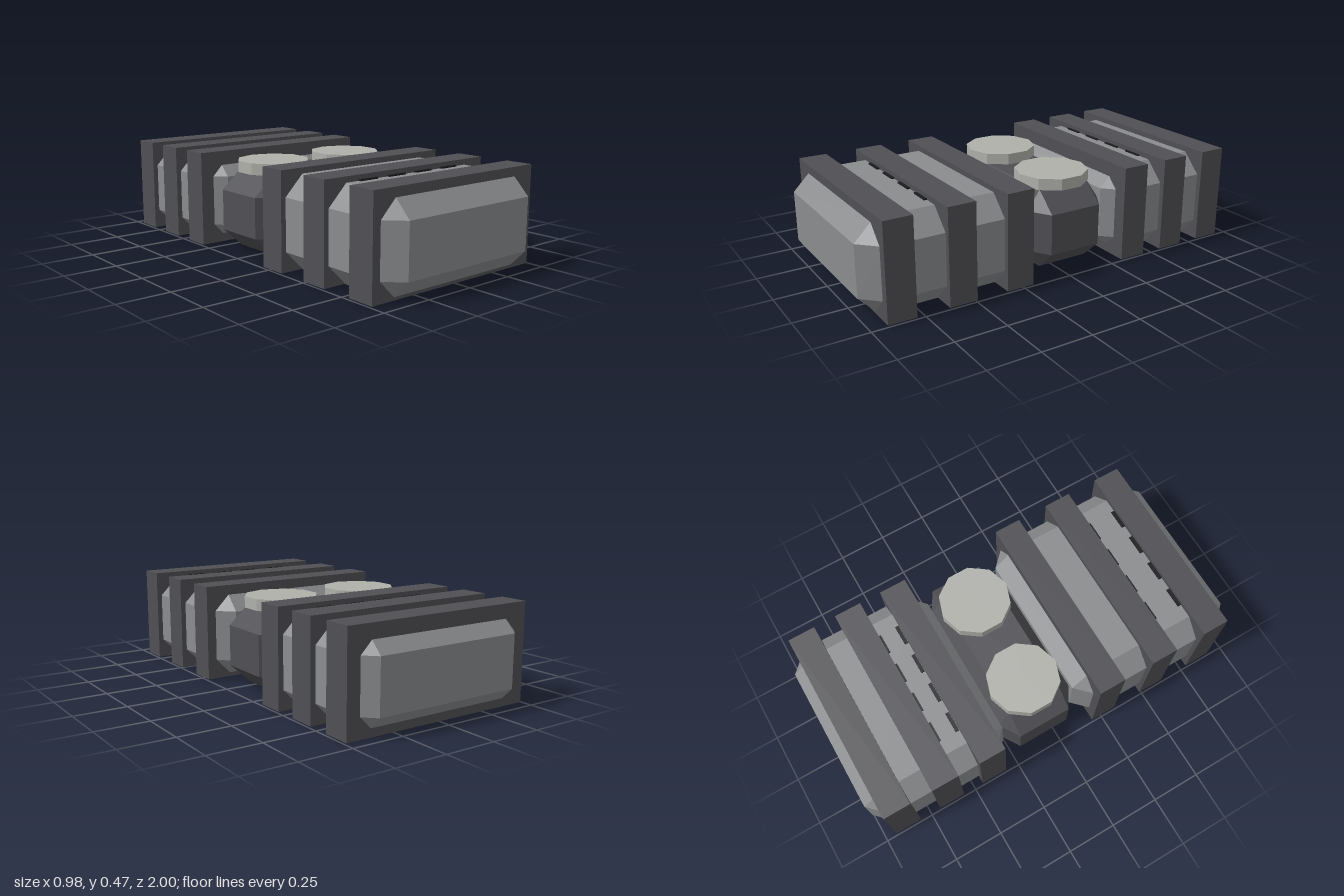
import * as THREE from 'three';
import { ConvexGeometry } from 'three/addons/geometries/ConvexGeometry.js';

const mat = (name, color) => {
  const m = new THREE.MeshStandardMaterial({ color });
  m.name = name;
  return m;
};

// Box between min and max whose twelve edges and eight corners are cut by a chamfer per axis
function chamferedBox(min, max, cut) {
  const points = [];
  for (let corner = 0; corner < 8; corner++) {
    const high = [corner & 1, corner & 2, corner & 4];
    for (let axis = 0; axis < 3; axis++) {
      const p = high.map((h, i) => {
        const inset = i === axis ? 0 : cut[i];
        return h ? max[i] - inset : min[i] + inset;
      });
      points.push(new THREE.Vector3(...p));
    }
  }
  return new ConvexGeometry(points);
}

export function createModel() {
  const model = new THREE.Group();
  model.name = 'twinPodModule';
  const hullGrey = mat('hull grey', 0x8a8c8e);
  const bandGrey = mat('dark band grey', 0x504f54);
  const padGrey = mat('pale pad grey', 0xb0b0ab);
  const slotBlack = mat('slot black', 0x1c1c1e);

  const add = (parent, name, geometry, material, x = 0, y = 0, z = 0) => {
    const mesh = new THREE.Mesh(geometry, material);
    mesh.name = name;
    mesh.position.set(x, y, z);
    parent.add(mesh);
    return mesh;
  };

  // Two ribbed pods, each with three square bands and two rows of slots
  const pods = [
    { name: 'frontPod', z0: 0.125, z1: 1, bands: [0.267, 0.56, 0.853], slots: [0.633, 0.776] },
    { name: 'rearPod', z0: -1, z1: -0.265, bands: [-0.385, -0.63, -0.877], slots: [-0.56, -0.464] },
  ];
  const bandGeometry = new THREE.BoxGeometry(0.98, 0.465, 0.136);
  const slotGeometry = new THREE.BoxGeometry(0.1, 0.009, 0.018);
  for (const { name, z0, z1, bands, slots } of pods) {
    const pod = new THREE.Group();
    pod.name = name;
    model.add(pod);
    add(pod, 'hull', chamferedBox([-0.465, 0, z0], [0.465, 0.44, z1], [0.095, 0.096, 0.095]), hullGrey);
    for (const z of bands) add(pod, 'band', bandGeometry, bandGrey, 0, 0.2345, z);
    for (const z of slots) {
      for (const x of [-0.25, -0.083, 0.083, 0.25]) add(pod, 'slot', slotGeometry, slotBlack, x, 0.4425, z);
    }
  }

  // Connecting block between the pods
  add(model, 'connector', chamferedBox([-0.44, 0.001, -0.27], [0.44, 0.39, 0.13], [0.105, 0.095, 0.065]), bandGrey);

  // Pair of ten-sided pads on top of the connector
  const padGeometry = new THREE.CylinderGeometry(0.177, 0.177, 0.055, 10).toNonIndexed();
  padGeometry.computeVertexNormals();
  for (const side of [-1, 1]) {
    add(model, side > 0 ? 'leftPad' : 'rightPad', padGeometry, padGrey, side * 0.232, 0.4165, -0.07);
  }
  return model;
}
